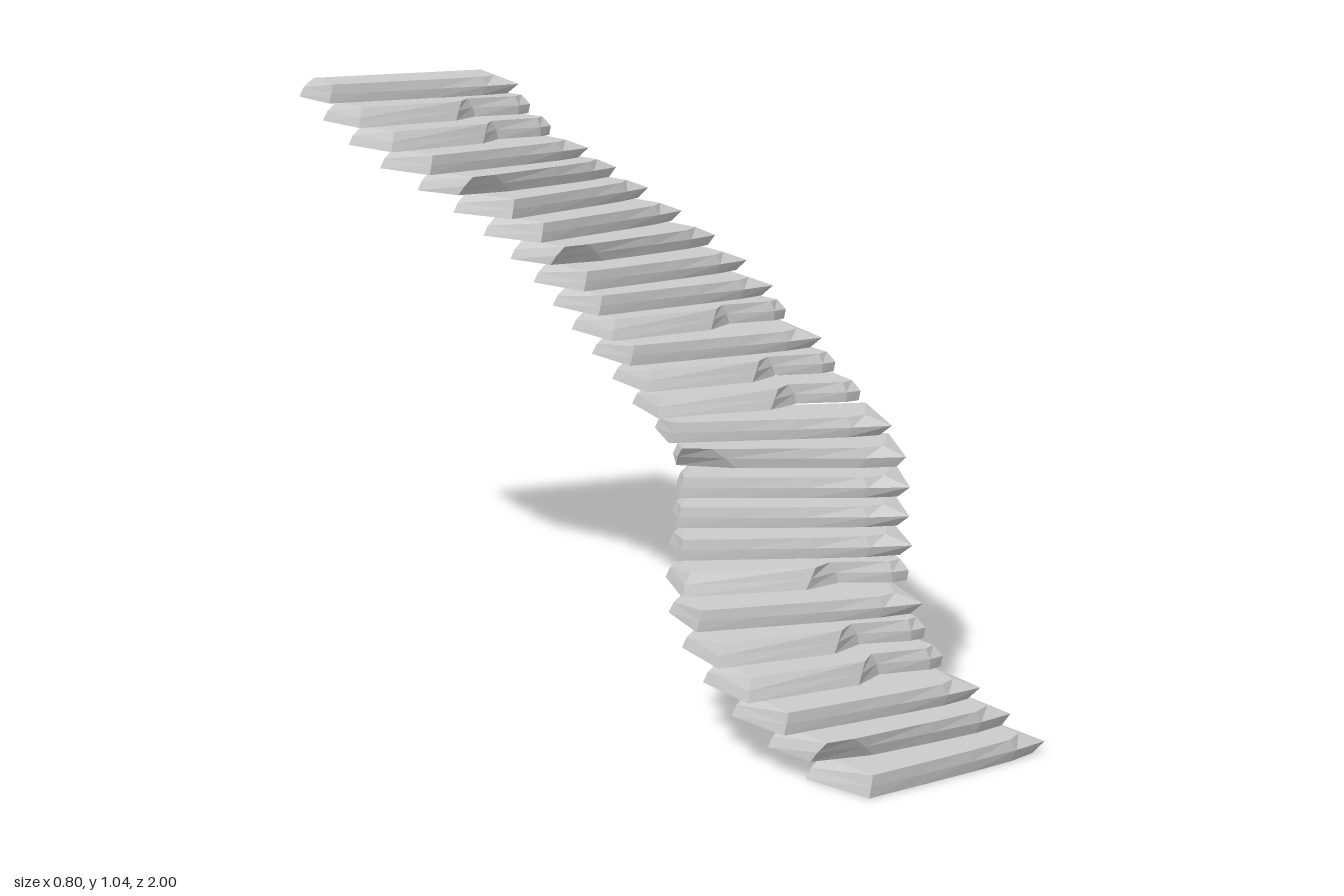
import * as THREE from 'three';

const STEPS = 26, RISE = 0.0399, THICK = 0.038;

// Winding path: x, yaw in degrees, z at evenly spaced places up the flight
const path = new THREE.CatmullRomCurve3([
  [0.115, 17, 0.865], [0.03, 8, 0.705], [0.025, -6, 0.52], [0.10, -21, 0.33],
  [0.175, -22, 0.165], [0.17, -1, -0.04], [0.137, 8, -0.225], [0.092, 19, -0.40],
  [0.005, 27, -0.59], [-0.125, 17, -0.715], [-0.187, 4, -0.91],
].map(([x, yaw, z]) => new THREE.Vector3(x, yaw, z)), false, 'catmullrom', 0.5);

// Each stone is three outlines (bottom, middle, top): five points along the
// front from left to right, then three along the back from right to left
const back = [
  [[0.195, -0.075], [0, -0.08], [-0.213, -0.078]],
  [[0.205, -0.073], [0, -0.075], [-0.205, -0.074]],
  [[0.195, -0.07], [0, -0.07], [-0.185, -0.07]],
];
const fronts = {
  // plain slab with a pointed right end
  plain: [
    [[-0.21, 0.075], [-0.1, 0.075], [0.03, 0.075], [0.13, 0.072], [0.195, 0.06]],
    [[-0.205, 0.075], [-0.1, 0.076], [0.03, 0.077], [0.14, 0.076], [0.217, 0.068]],
    [[-0.2, 0.073], [-0.1, 0.074], [0.03, 0.074], [0.13, 0.07], [0.17, 0.05]],
  ],
  // broken front edge, set back on the right
  notched: [
    [[-0.214, 0.08], [0.015, 0.07], [0.085, 0.025], [0.18, 0.04], [0.21, 0.03]],
    [[-0.207, 0.072], [0.025, 0.064], [0.08, 0.024], [0.18, 0.042], [0.213, 0.032]],
    [[-0.195, 0.06], [0.035, 0.058], [0.07, 0.022], [0.175, 0.036], [0.2, 0.02]],
  ],
  // corner split off at the left
  wedged: [
    [[-0.21, 0.035], [-0.1, 0.066], [0.03, 0.07], [0.13, 0.07], [0.2, 0.06]],
    [[-0.208, 0.05], [-0.12, 0.07], [0.03, 0.074], [0.14, 0.074], [0.217, 0.064]],
    [[-0.2, 0.066], [-0.145, 0.073], [0.03, 0.073], [0.13, 0.07], [0.175, 0.05]],
  ],
};

function stoneGeometry(front) {
  const rings = front.map((points, k) => [...points, ...back[k]]
    .map(([x, z]) => [x, THICK * k / 2, z]));
  const n = rings[0].length, hub = 6, pos = [];
  const tri = (a, b, c) => pos.push(...a, ...b, ...c);
  // sides
  for (let k = 0; k < 2; k++) {
    for (let i = 0; i < n; i++) {
      const j = (i + 1) % n, lo = rings[k], hi = rings[k + 1];
      tri(lo[i], lo[j], hi[j]);
      tri(lo[i], hi[j], hi[i]);
    }
  }
  // top and underside, fanned from the middle of the back edge
  for (let i = 0; i < n; i++) {
    const j = (i + 1) % n;
    if (i === hub || j === hub) continue;
    tri(rings[2][hub], rings[2][i], rings[2][j]);
    tri(rings[0][hub], rings[0][j], rings[0][i]);
  }
  const g = new THREE.BufferGeometry();
  g.setAttribute('position', new THREE.Float32BufferAttribute(pos, 3));
  g.computeVertexNormals();
  return g;
}

export function createModel() {
  const stairs = new THREE.Group();
  stairs.name = 'windingStoneStairs';
  const stone = new THREE.MeshStandardMaterial({ color: 0xcccccc, flatShading: true });
  const shapes = {
    P: stoneGeometry(fronts.plain),
    N: stoneGeometry(fronts.notched),
    W: stoneGeometry(fronts.wedged),
  };
  // Kind of stone for each step, from the lowest up
  const order = 'PWPNNPNPPPWPNNPNPPWPPWPNNP';
  for (let i = 0; i < STEPS; i++) {
    const p = path.getPoint(i / (STEPS - 1));
    const step = new THREE.Mesh(shapes[order[i]], stone);
    step.name = `step${i + 1}`;
    step.position.set(p.x, i * RISE, p.z);
    step.rotation.y = THREE.MathUtils.degToRad(p.y);
    stairs.add(step);
  }
  return stairs;
}
